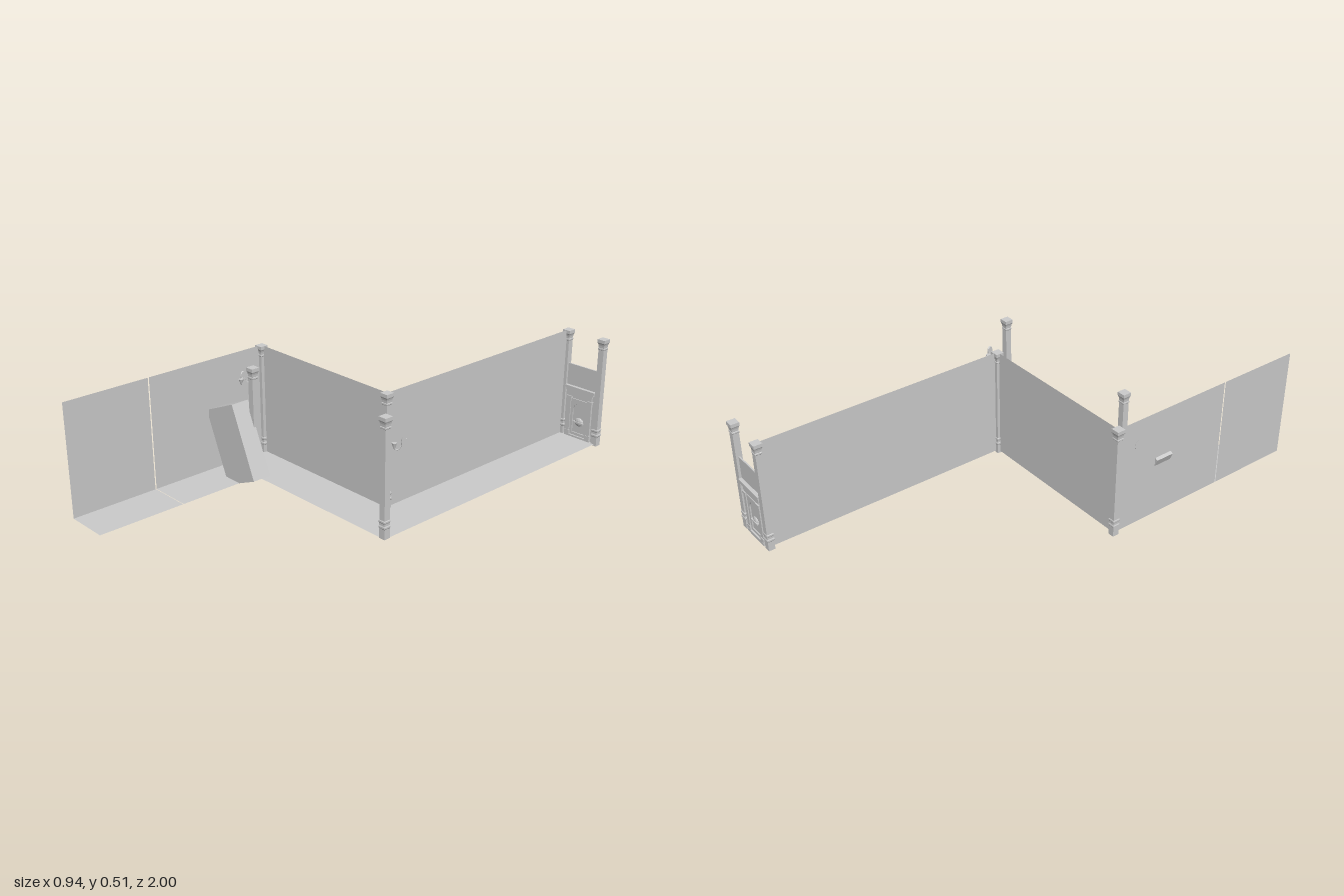
import * as THREE from 'three';

const FLOOR = 0.035, TOP = 0.5, END_Z = -0.982;

export function createModel() {
  const model = new THREE.Group();
  model.name = 'zigzagCorridor';
  const mat = new THREE.MeshStandardMaterial({ color: 0xcccccc, flatShading: true });
  const thin = new THREE.MeshStandardMaterial({ color: 0xcccccc, side: THREE.DoubleSide });

  function add(name, geometry, material = mat, parent = model) {
    const mesh = new THREE.Mesh(geometry, material);
    mesh.name = name;
    parent.add(mesh);
    return mesh;
  }

  // Flat floor strip
  function floor(name, x0, x1, z0, z1) {
    const m = add(name, new THREE.PlaneGeometry(x1 - x0, z1 - z0), thin);
    m.rotation.x = -Math.PI / 2;
    m.position.set((x0 + x1) / 2, FLOOR, (z0 + z1) / 2);
  }

  // Upright sheet between two plan points
  function wall(name, x0, z0, x1, z1, y0 = FLOOR, y1 = TOP) {
    const m = add(name, new THREE.PlaneGeometry(Math.hypot(x1 - x0, z1 - z0), y1 - y0), thin);
    m.rotation.y = -Math.atan2(z1 - z0, x1 - x0);
    m.position.set((x0 + x1) / 2, (y0 + y1) / 2, (z0 + z1) / 2);
  }

  floor('frontFloorOuter', -0.455, -0.275, 0.633, 1);
  floor('frontFloorInner', -0.455, -0.275, 0.272, 0.63);
  floor('middleFloor', -0.455, 0.45, 0.087, 0.272);
  floor('backFloor', 0.27, 0.45, -0.985, 0.087);

  wall('frontWallOuter', -0.455, 1, -0.455, 0.635);
  wall('frontWallInner', -0.455, 0.63, -0.455, 0.087);
  wall('middleWall', -0.455, 0.087, 0.27, 0.087);
  wall('backWall', 0.27, 0.087, 0.27, -0.985);
  wall('diagonalPanel', 0.27, 0.087, 0.45, 0.27, 0.03, 0.275);

  // Square posts with moulded base bands and flared capitals: [half width, height]
  const profile = [
    [0, 0.028], [0.0135, 0.028], [0.0135, 0.068], [0.0155, 0.071], [0.0155, 0.077],
    [0.0135, 0.081], [0.0135, 0.09], [0.015, 0.093], [0.015, 0.099], [0.013, 0.102],
    [0.013, 0.455], [0.0145, 0.457], [0.0145, 0.462], [0.013, 0.464], [0.0138, 0.474],
    [0.0155, 0.481], [0.0178, 0.486], [0.0178, 0.5], [0, 0.5]
  ].map(([h, y]) => new THREE.Vector2(h * Math.SQRT2, y));
  const postGeometry = new THREE.LatheGeometry(profile, 4, Math.PI / 4);
  const posts = [
    [-0.453, 0.088, 0], [-0.273, 0.278, 0], [0.27, 0.088, 0],
    [0.45, 0.272, 0.014], [0.27, END_Z, 0], [0.447, END_Z, 0]
  ];
  for (const [x, z, lift] of posts) add('post', postGeometry, mat).position.set(x, lift, z);

  // End panel with a fireplace surround, moulded on both faces
  const fireplace = new THREE.Group();
  fireplace.name = 'fireplace';
  fireplace.position.set(0.358, 0, END_Z);
  model.add(fireplace);

  function block(name, w, y0, y1, d, x = 0) {
    add(name, new THREE.BoxGeometry(w, y1 - y0, d), mat, fireplace).position.set(x, (y0 + y1) / 2, 0);
  }
  block('endPanel', 0.17, 0.03, 0.355, 0.006);
  block('mantelShelf', 0.152, 0.252, 0.262, 0.036);
  block('mantelMoulding', 0.14, 0.242, 0.252, 0.03);
  block('mantelFrieze', 0.122, 0.216, 0.242, 0.02);
  block('hearthStep', 0.13, 0.03, 0.043, 0.03);
  for (const s of [-1, 1]) {
    block('pilaster', 0.018, 0.043, 0.216, 0.024, s * 0.053);
    block('pilasterCap', 0.024, 0.204, 0.216, 0.029, s * 0.053);
    block('pilasterFoot', 0.024, 0.043, 0.06, 0.029, s * 0.053);
  }

  // Inner frame with an arched opening
  const frame = new THREE.Shape();
  frame.moveTo(-0.045, 0.043).lineTo(0.045, 0.043).lineTo(0.045, 0.206).lineTo(-0.045, 0.206);
  const opening = new THREE.Path();
  opening.moveTo(-0.032, 0.055).lineTo(-0.032, 0.155);
  opening.absarc(0, 0.155, 0.032, Math.PI, 0, true);
  opening.lineTo(0.032, 0.055);
  frame.holes.push(opening);
  const frameGeometry = new THREE.ExtrudeGeometry(frame, { depth: 0.016, bevelEnabled: false, curveSegments: 8 });
  add('archedFrame', frameGeometry.translate(0, 0, -0.008), mat, fireplace);

  // Rounded basket with a rail
  const basket = add('fireBasket', new THREE.SphereGeometry(0.024, 12, 8), mat, fireplace);
  basket.scale.set(1, 0.85, 0.45);
  basket.position.y = 0.105;
  block('basketRail', 0.05, 0.101, 0.107, 0.026);

  // Two-armed wall lamps, mirrored to the two ends of the middle section
  for (const side of [-1, 1]) {
    const lamp = new THREE.Group();
    lamp.name = 'wallLamp';
    lamp.position.set(side * 0.455, 0, 0.187);
    lamp.rotation.y = side > 0 ? Math.PI : 0;
    model.add(lamp);
    const plate = add('lampPlate', new THREE.CylinderGeometry(0.011, 0.013, 0.005, 10), mat, lamp);
    plate.rotation.z = -Math.PI / 2;
    plate.scale.x = 1.7;
    plate.position.set(0.001, 0.393, 0);
    for (const s of [-1, 1]) {
      const arm = new THREE.CatmullRomCurve3([
        [0, 0.408, 0], [0.003, 0.385, s * 0.006], [0.01, 0.367, s * 0.014],
        [0.018, 0.364, s * 0.022], [0.021, 0.374, s * 0.025]
      ].map(p => new THREE.Vector3(...p)));
      add('lampArm', new THREE.TubeGeometry(arm, 10, 0.0018, 5), mat, lamp);
      add('lampCup', new THREE.CylinderGeometry(0.01, 0.002, 0.024, 10), mat, lamp)
        .position.set(0.021, 0.379, s * 0.025);
    }
  }

  // Leaning slab at the inner corner
  const slab = add('leaningSlab', new THREE.BoxGeometry(0.179, 0.311, 0.08));
  slab.position.set(-0.325, 0.182, 0.322);
  slab.rotation.z = Math.atan2(0.07, 0.165);

  return model;
}
